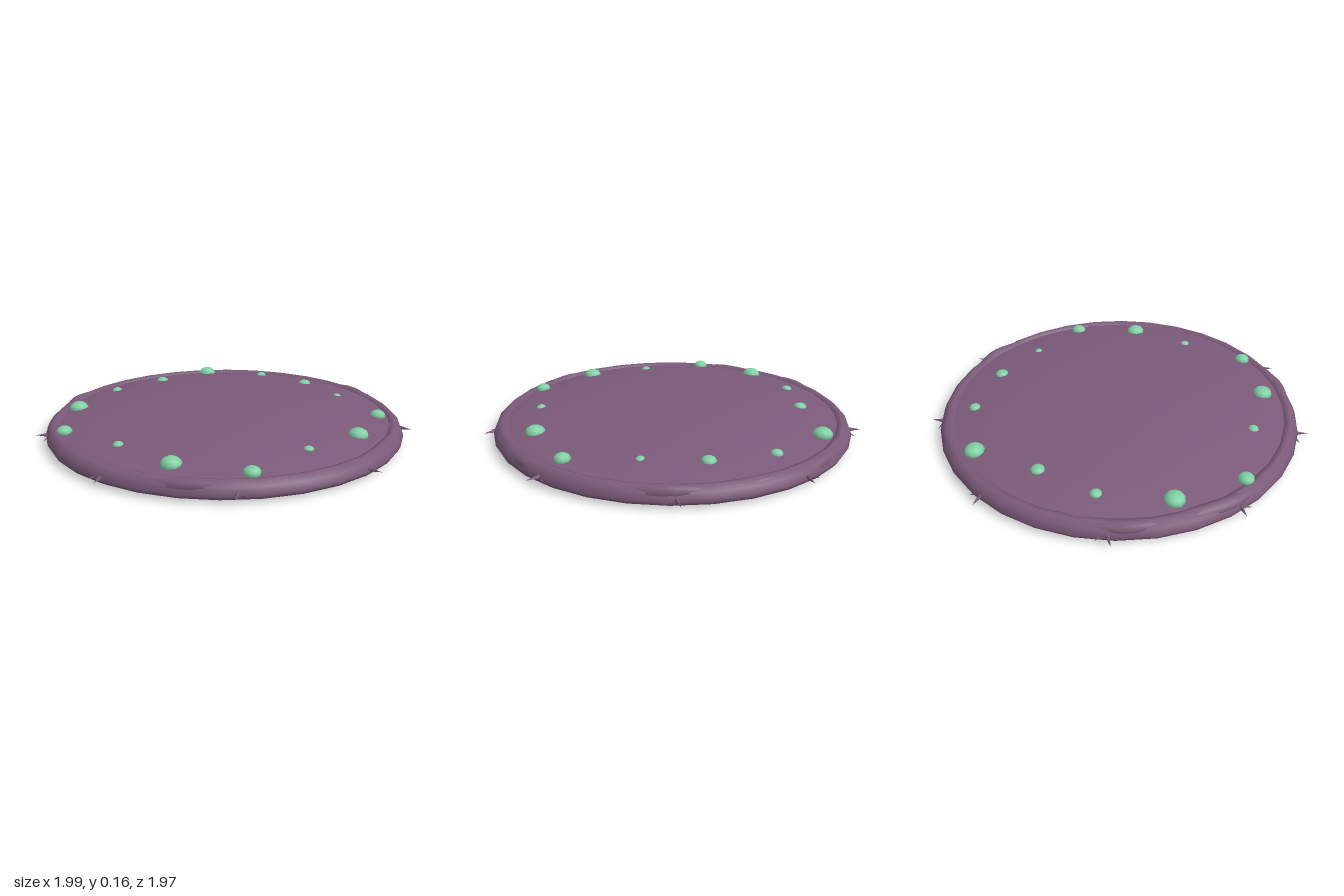
import * as THREE from 'three';

const RAD = Math.PI / 180;
const purple = new THREE.MeshStandardMaterial({ color: 0x7b5a79, side: THREE.DoubleSide });
purple.name = 'mauve bark';
const green = new THREE.MeshStandardMaterial({ color: 0x7fcfa3 });
green.name = 'mint green';

// Point at an angle (degrees, from +x towards +z), radius and height
function polar(deg, r, y) {
  return new THREE.Vector3(r * Math.cos(deg * RAD), y, r * Math.sin(deg * RAD));
}

function addMesh(parent, name, geometry, material) {
  const mesh = new THREE.Mesh(geometry, material);
  mesh.name = name;
  parent.add(mesh);
  return mesh;
}

// Tube whose thickness follows radiusAt(t); zero at an end closes it
function vine(points, segments, sides, radiusAt) {
  const curve = new THREE.CatmullRomCurve3(points);
  const geometry = new THREE.TubeGeometry(curve, segments, 1, sides);
  const pos = geometry.attributes.position;
  const v = new THREE.Vector3();
  for (let i = 0; i <= segments; i++) {
    const centre = curve.getPointAt(i / segments);
    const radius = radiusAt(i / segments);
    for (let j = 0; j <= sides; j++) {
      const k = i * (sides + 1) + j;
      v.fromBufferAttribute(pos, k).sub(centre).multiplyScalar(radius).add(centre);
      pos.setXYZ(k, v.x, v.y, v.z);
    }
  }
  return geometry;
}

// Cone from a base point to a tip
function thorn(parent, base, tip, radius) {
  const dir = tip.clone().sub(base);
  const geometry = new THREE.ConeGeometry(radius, dir.length(), 5);
  const mesh = addMesh(parent, 'thorn', geometry, purple);
  mesh.position.copy(base).addScaledVector(dir, 0.5);
  mesh.quaternion.setFromUnitVectors(new THREE.Vector3(0, 1, 0), dir.normalize());
}

export function createModel() {
  const model = new THREE.Group();
  model.name = 'thornyCap';
  const body = new THREE.Group();
  body.name = 'body';
  body.position.z = -0.03;
  model.add(body);

  // Thin domed skin, open underneath
  const dome = [[0.89, 0.098], [0.8, 0.117], [0.7, 0.131], [0.55, 0.147],
    [0.4, 0.16], [0.2, 0.17], [0, 0.174]].map(([r, y]) => new THREE.Vector2(r, y));
  addMesh(body, 'dome', new THREE.LatheGeometry(dome, 36), purple);

  // Rounded outer rim
  const rim = [[0.868, 0.065], [0.876, 0.04], [0.91, 0.025], [0.95, 0.03], [0.96, 0.05],
    [0.945, 0.085], [0.915, 0.11], [0.885, 0.1], [0.868, 0.065]]
    .map(([r, y]) => new THREE.Vector2(r, y));
  addMesh(body, 'rim', new THREE.LatheGeometry(rim, 32), purple);

  // Overlapping vines wound around the rim
  for (const start of [0, 47, 133, 200, 233, 310]) {
    const points = [];
    for (let i = 0; i <= 8; i++) {
      const t = i / 8;
      const r = 0.915 - 0.035 * t + 0.006 * Math.sin(i * 2.1);
      points.push(polar(start + 92 * t, r, 0.078 - 0.028 * t + 0.006 * Math.sin(i * 1.7 + start)));
    }
    const thickness = (t) => (t === 0 || t === 1 ? 0 : 0.037 * Math.min(1, 0.5 + 4 * t, 0.3 + 5 * (1 - t)));
    addMesh(body, 'rimVine', vine(points, 28, 8, thickness), purple);
  }

  // Nine swirling vines below, each meeting a pair of thorns on the rim
  for (let k = 0; k < 9; k++) {
    const a = 250 - 40 * k;
    const points = [
      polar(a - 25, 0.27, 0.115), polar(a - 21, 0.42, 0.102), polar(a - 17, 0.56, 0.082),
      polar(a - 9, 0.74, 0.052), polar(a, 0.9, 0.05),
    ];
    addMesh(body, 'underVine', vine(points, 14, 7, (t) => (t === 0 ? 0 : 0.038 - 0.012 * t)), purple);

    const side = k % 2 ? 1 : -1;
    thorn(body, polar(a, 0.93, 0.06), polar(a + 1.5 * side, 1.01, 0.055), 0.014);
    thorn(body, polar(a + 1, 0.935, 0.055), polar(a - 3 * side, 0.975, 0.045), 0.01);
  }

  // Green warts around the edge of the dome: x, z, radius
  const warts = [
    [-0.2, -0.755, 0.03], [0.12, -0.72, 0.037], [0.485, -0.705, 0.052], [-0.54, -0.64, 0.052],
    [-0.8, -0.37, 0.041], [-0.735, 0.005, 0.028], [-0.695, 0.35, 0.052], [-0.495, 0.66, 0.042],
    [-0.13, 0.675, 0.027], [0.21, 0.71, 0.052], [0.55, 0.59, 0.042], [0.645, 0.24, 0.024],
    [0.715, -0.065, 0.038], [0.68, -0.4, 0.031],
  ];
  for (const [x, z, r] of warts) {
    const wart = addMesh(model, 'wart', new THREE.SphereGeometry(r, 10, 7), green);
    const d = Math.hypot(x, z + 0.03);
    wart.position.set(x, 0.122 - 0.08 * (d - 0.72), z);
    wart.scale.y = 0.72;
  }

  return model;
}
